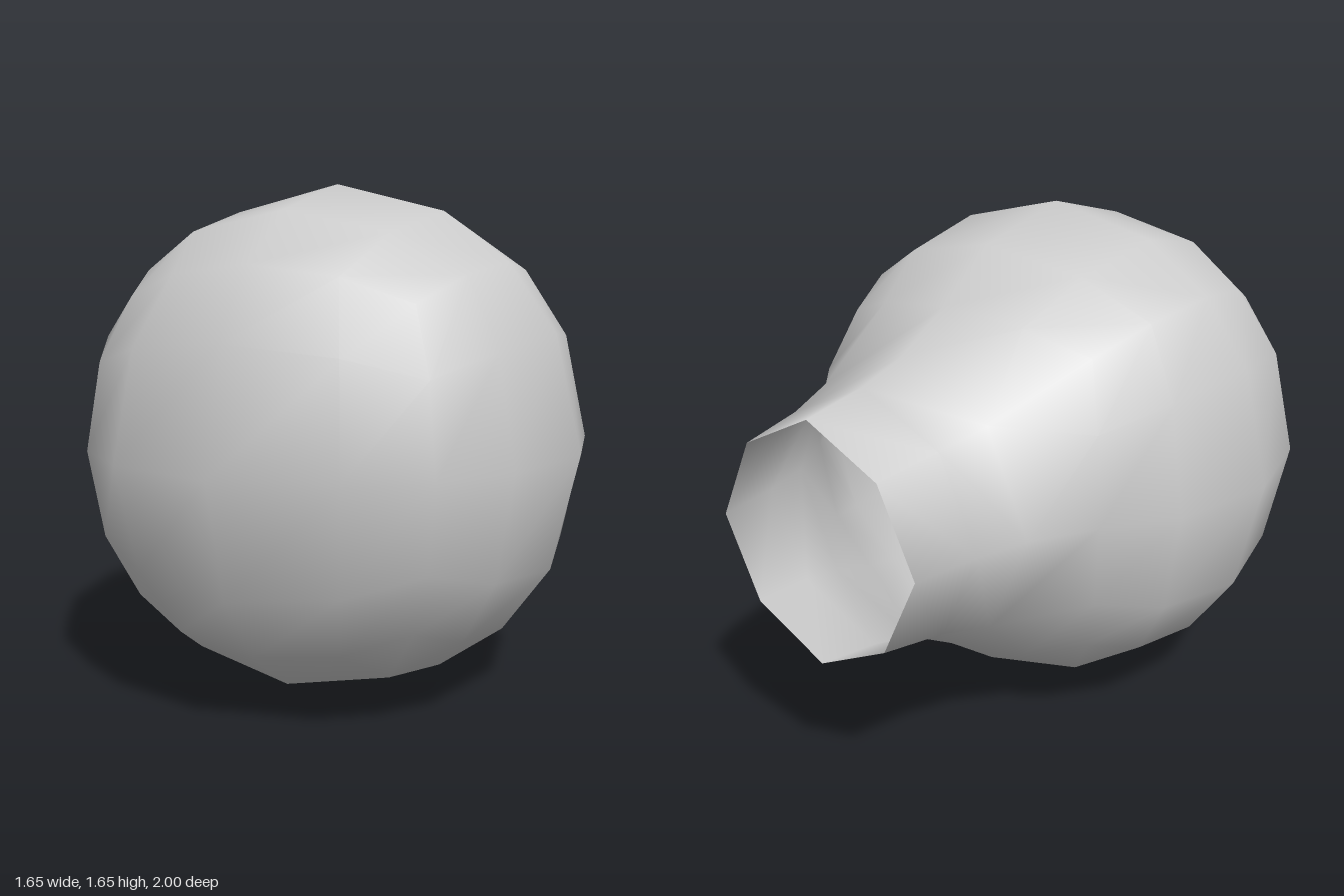
import * as THREE from 'three';
import { mergeVertices } from 'three/addons/utils/BufferGeometryUtils.js';

const R = 0.827;               // bulb radius
const CENTRE = [0, R, 1 - R];  // bulb centre

// Neck rings from bulb to open rim: z, radius, scale of the diagonal corners
const RINGS = [
  [-0.61, 0.47, 0.98],
  [-0.78, 0.42, 0.965],
  [-1, 0.384, 0.95],
];

// Point k (0..7) of the octagonal neck ring i
function ringPoint(i, k) {
  const [z, r, corner] = RINGS[i];
  const s = k % 2 ? r * corner : r;
  const a = (k * Math.PI) / 4;
  return [s * Math.cos(a), CENTRE[1] + s * Math.sin(a), z];
}

// Cube grid point to the bulb surface; the square opening at the back becomes the first neck ring
function bulbPoint(p) {
  if (isOpening(p)) {
    const k = Math.round(Math.atan2(p.y, p.x) / (Math.PI / 4));
    return ringPoint(0, (k + 8) % 8);
  }
  return p.clone().setLength(R).toArray().map((v, i) => v + CENTRE[i]);
}

function isOpening(p) {
  return p.z < -0.99 && Math.abs(p.x) < 0.51 && Math.abs(p.y) < 0.51;
}

export function createModel() {
  const group = new THREE.Group();
  const positions = [];

  // Bulb: rounded cube grid with the middle of its back face left open
  const cube = new THREE.BoxGeometry(2, 2, 2, 4, 4, 4).toNonIndexed().attributes.position;
  for (let i = 0; i < cube.count; i += 3) {
    const tri = [0, 1, 2].map((j) => new THREE.Vector3().fromBufferAttribute(cube, i + j));
    if (tri.every(isOpening)) continue;
    tri.forEach((p) => positions.push(...bulbPoint(p)));
  }

  // Neck: octagonal rings joined backwards to the open rim
  for (let i = 0; i < RINGS.length - 1; i++) {
    for (let k = 0; k < 8; k++) {
      const n = (k + 1) % 8;
      const a = ringPoint(i, k), b = ringPoint(i, n);
      const c = ringPoint(i + 1, n), d = ringPoint(i + 1, k);
      positions.push(...a, ...d, ...b, ...b, ...d, ...c);
    }
  }

  // Weld into one smooth surface
  let geometry = new THREE.BufferGeometry();
  geometry.setAttribute('position', new THREE.Float32BufferAttribute(positions, 3));
  geometry = mergeVertices(geometry, 1e-4);
  geometry.computeVertexNormals();

  const bulb = new THREE.Mesh(
    geometry,
    new THREE.MeshStandardMaterial({ color: 0xcccccc, side: THREE.DoubleSide })
  );
  bulb.name = 'bulbWithNeck';
  group.add(bulb);
  return group;
}
